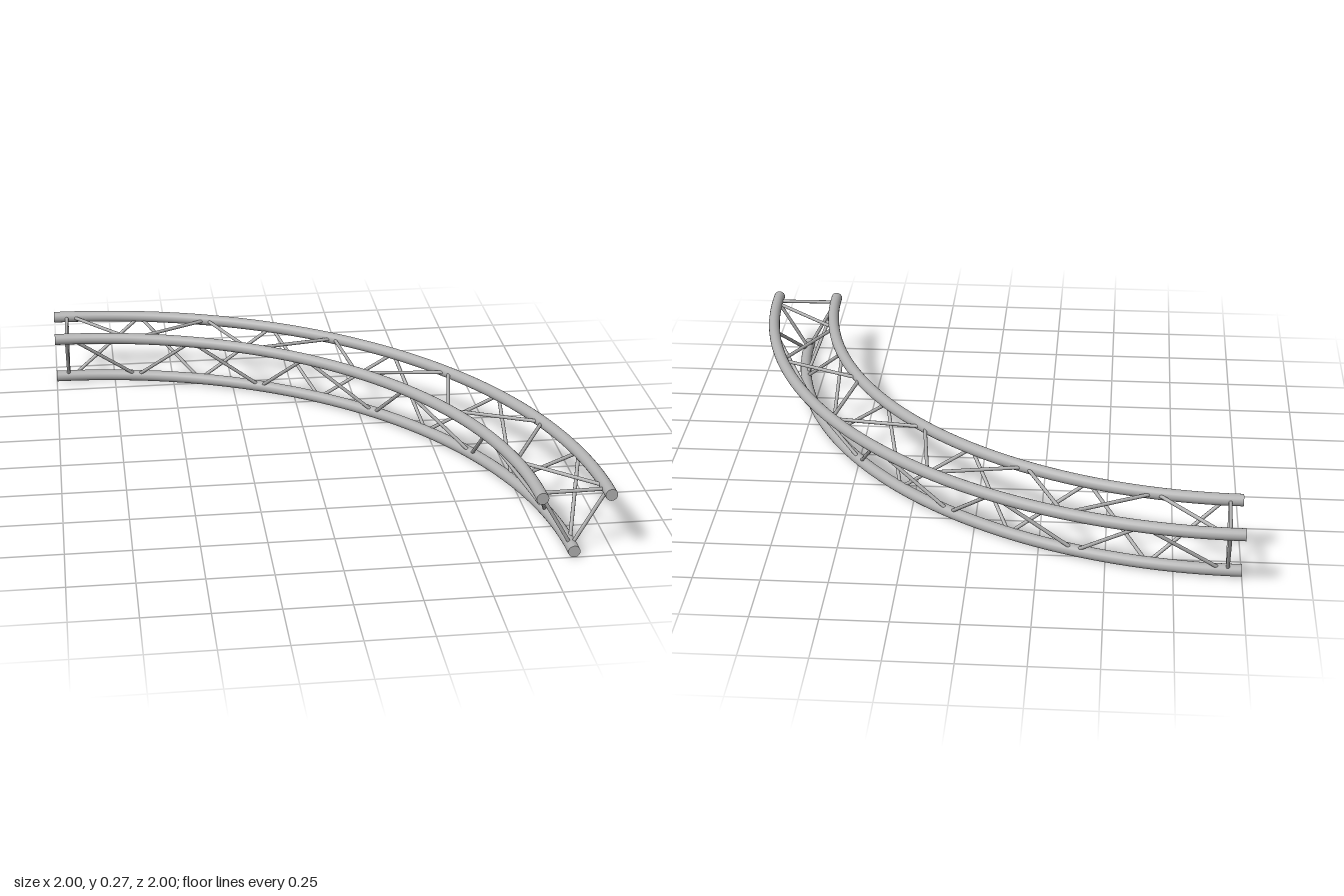
import * as THREE from 'three';

// Quarter-circle triangular truss; the arc centre sits at x = -1, z = 1
const TUBE = 0.023, BRACE = 0.0072;
const CHORDS = {
  outer: { r: 1.976, y: 0.246 },
  inner: { r: 1.722, y: 0.246 },
  lower: { r: 1.849, y: 0.023 },
};
const BAYS = 10, FIRST = 2.2, STEP = (90 - 2 * FIRST) / BAYS, END = 1.6;

// Point on a chord, in degrees from the back end to the front end
function onChord(name, deg) {
  const { r, y } = CHORDS[name];
  const a = THREE.MathUtils.degToRad(deg);
  return new THREE.Vector3(-1 + r * Math.sin(a), y, 1 - r * Math.cos(a));
}

function rod(a, b, material, name) {
  const dir = b.clone().sub(a);
  const mesh = new THREE.Mesh(new THREE.CylinderGeometry(BRACE, BRACE, dir.length(), 10), material);
  mesh.position.copy(a).add(b).multiplyScalar(0.5);
  mesh.quaternion.setFromUnitVectors(new THREE.Vector3(0, 1, 0), dir.normalize());
  mesh.name = name;
  return mesh;
}

// Curved main tube with flat end caps
function chord(name, material) {
  const { r, y } = CHORDS[name];
  const group = new THREE.Group();
  group.name = name + 'Chord';
  const tube = new THREE.Mesh(new THREE.TorusGeometry(r, TUBE, 20, 96, Math.PI / 2), material);
  tube.name = 'curvedTube';
  tube.rotation.x = -Math.PI / 2;
  tube.position.set(-1, y, 1);
  const disc = new THREE.CircleGeometry(TUBE, 20);
  const frontCap = new THREE.Mesh(disc, material);
  frontCap.name = 'frontCap';
  frontCap.position.set(r - 1, y, 1);
  const backCap = new THREE.Mesh(disc, material);
  backCap.name = 'backCap';
  backCap.rotation.y = -Math.PI / 2;
  backCap.position.set(-1, y, 1 - r);
  group.add(tube, frontCap, backCap);
  return group;
}

export function createModel() {
  const model = new THREE.Group();
  model.name = 'curvedTruss';
  const metal = new THREE.MeshStandardMaterial({ color: 0xb2b2b2 });
  metal.name = 'grey metal';

  for (const name of Object.keys(CHORDS)) model.add(chord(name, metal));

  // Zigzag bracing on the three faces; the first chord takes the even nodes
  const faces = [['outer', 'inner'], ['lower', 'outer'], ['inner', 'lower']];
  for (const pair of faces) {
    const face = new THREE.Group();
    face.name = pair.join('To') + 'Bracing';
    for (let k = 0; k < BAYS; k++) {
      face.add(rod(
        onChord(pair[k % 2], FIRST + k * STEP),
        onChord(pair[(k + 1) % 2], FIRST + (k + 1) * STEP),
        metal, 'diagonalBrace'));
    }
    // Straight struts that close each end
    for (const deg of [END, 90 - END]) {
      face.add(rod(onChord(pair[0], deg), onChord(pair[1], deg), metal, 'endStrut'));
    }
    model.add(face);
  }
  return model;
}
